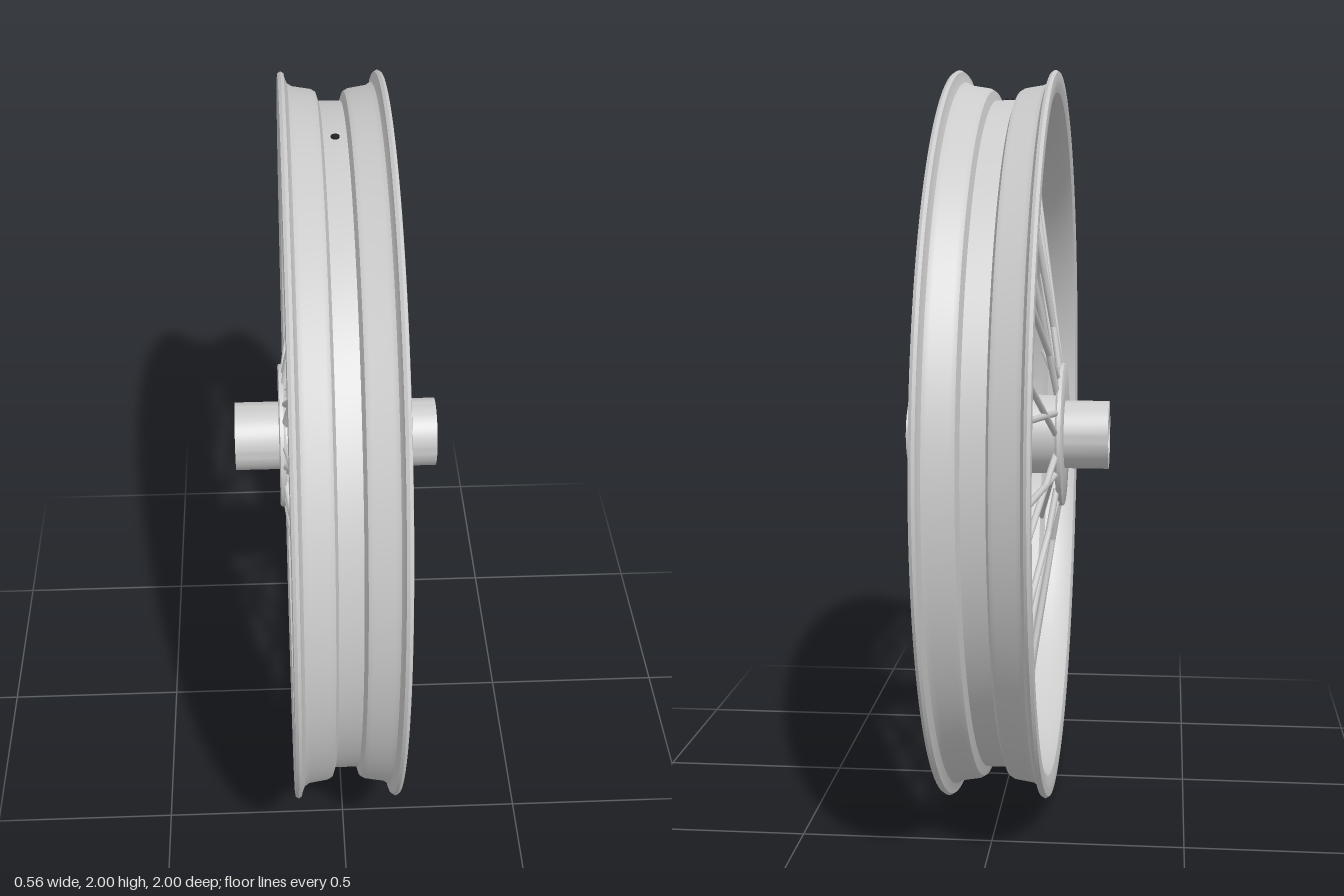
import * as THREE from 'three';
import { toCreasedNormals } from 'three/addons/utils/BufferGeometryUtils.js';

const metal = new THREE.MeshStandardMaterial({ color: 0xcccccc });
const rubber = new THREE.MeshStandardMaterial({ color: 0x222222 });

// Closed ring around the x axis from half a cross-section [x, radius],
// listed from the outer centre round to the inner centre, then mirrored.
function ring(name, half, segments) {
  const mirrored = half.map(([x, r]) => [-x, r]).reverse();
  const points = [...half, ...mirrored.slice(1)].map(([x, r]) => new THREE.Vector2(r, x));
  const geometry = new THREE.LatheGeometry(points, segments).rotateZ(-Math.PI / 2);
  const mesh = new THREE.Mesh(toCreasedNormals(geometry, 0.55), metal);
  mesh.name = name;
  return mesh;
}

// Straight rod between two points
function rod(name, a, b, radius, material, sides = 8) {
  const dir = b.clone().sub(a);
  const mesh = new THREE.Mesh(new THREE.CylinderGeometry(radius, radius, dir.length(), sides), material);
  mesh.position.copy(a).add(b).multiplyScalar(0.5);
  mesh.quaternion.setFromUnitVectors(new THREE.Vector3(0, 1, 0), dir.normalize());
  mesh.name = name;
  return mesh;
}

const polar = (x, r, angle) => new THREE.Vector3(x, r * Math.sin(angle), -r * Math.cos(angle));

export function createModel() {
  const wheel = new THREE.Group();
  wheel.name = 'spokedWheel';
  wheel.position.y = 1;

  // Rim with a drop centre and rolled lips
  wheel.add(ring('rim', [
    [0, 0.92], [0.03, 0.92], [0.038, 0.945], [0.05, 0.952], [0.1, 0.96], [0.113, 0.968],
    [0.119, 0.982], [0.122, 0.995], [0.13, 1], [0.138, 0.995], [0.14, 0.98], [0.139, 0.96],
    [0.134, 0.94], [0.115, 0.925], [0.08, 0.912], [0.045, 0.9], [0.036, 0.88], [0.03, 0.87], [0, 0.87],
  ], 128));

  // Hub: barrel, two flanges, axle stubs and a through bore
  wheel.add(ring('hub', [
    [0, 0.11], [0.14, 0.11], [0.14, 0.195], [0.145, 0.2], [0.155, 0.2], [0.158, 0.195],
    [0.158, 0.095], [0.28, 0.095], [0.28, 0.065], [0, 0.065],
  ], 64));

  // Forty crossed spokes, alternating between the two flanges
  const spokes = new THREE.Group();
  spokes.name = 'spokes';
  const step = Math.PI / 20;
  for (let i = 0; i < 40; i++) {
    const side = i % 2 ? -1 : 1;
    const lean = i % 4 < 2 ? 1 : -1;
    const hubEnd = polar(side * 0.142, 0.185, (i + 2 * lean) * step);
    const rimEnd = polar(side * 0.032, 0.885, i * step);
    spokes.add(rod('spoke', hubEnd, rimEnd, 0.009, metal));
  }
  wheel.add(spokes);

  // Valve passing through the top of the rim
  const valve = new THREE.Group();
  valve.name = 'valve';
  valve.add(rod('valveStem', polar(0, 0.8, Math.PI / 2), polar(0, 0.925, Math.PI / 2), 0.011, rubber, 16));
  valve.add(rod('valveCap', polar(0, 0.77, Math.PI / 2), polar(0, 0.84, Math.PI / 2), 0.014, rubber, 16));
  wheel.add(valve);

  const model = new THREE.Group();
  model.name = 'wheelModel';
  model.add(wheel);
  return model;
}
